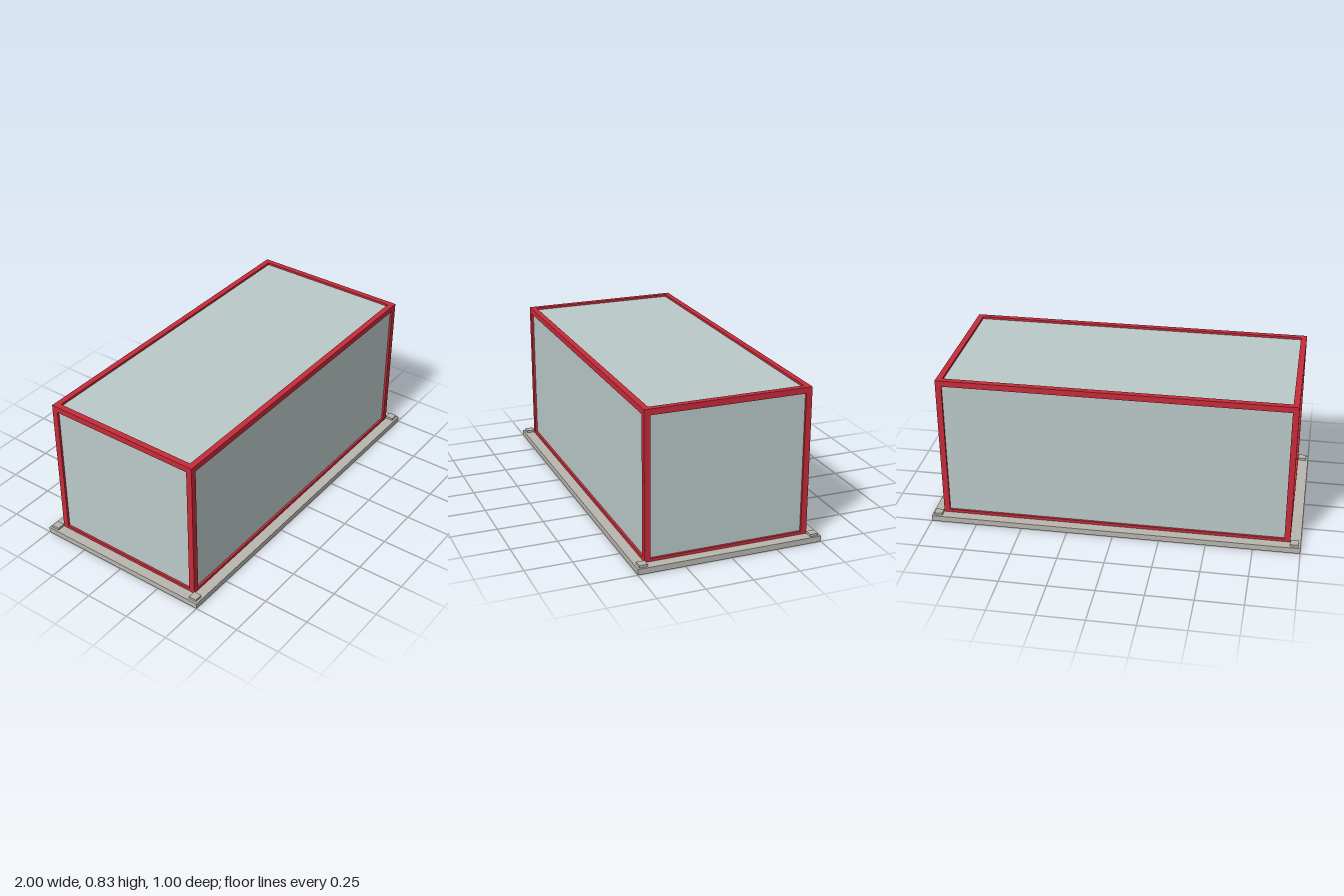
import * as THREE from 'three';

export function createModel() {
  const root = new THREE.Group();
  const mat = (name, color) => {
    const m = new THREE.MeshStandardMaterial({ color });
    m.name = name;
    return m;
  };
  const red = mat('red frame', 0xc62b39);
  const glass = mat('pale glass', 0xbbc9c9);
  const stone = mat('warm grey', 0xb9b6af);

  const box = (name, material, size, pos) => {
    const mesh = new THREE.Mesh(new THREE.BoxGeometry(...size), material);
    mesh.name = name;
    mesh.position.set(...pos);
    root.add(mesh);
  };

  // Base slab
  const baseTop = 0.031;
  box('baseSlab', stone, [2, baseTop, 1], [0, baseTop / 2, 0]);

  // Frame: beam thickness and centre lines
  const t = 0.032, fx = 0.928, fz = 0.428, yLow = 0.031, yHigh = 0.812;
  const yMid = (yLow + yHigh) / 2, h = yHigh - yLow;
  const sides = [-1, 1];

  for (const sx of sides) {
    for (const sz of sides) {
      // Corner posts and the small pads outside them
      box('cornerPost', red, [t, h + t, t], [sx * fx, yMid, sz * fz]);
      box('cornerPad', stone, [0.044, 0.014, 0.044], [sx * 0.967, baseTop + 0.006, sz * 0.466]);
    }
  }

  // Bottom and top rails between the posts
  for (const y of [yLow, yHigh]) {
    for (const s of sides) {
      box('longRail', red, [2 * fx - t, t, t], [0, y, s * fz]);
      box('shortRail', red, [t, t, 2 * fz - t], [s * fx, y, 0]);
    }
  }

  // Recessed glass panels
  const p = 0.008;
  for (const s of sides) {
    box('longPanel', glass, [2 * fx - t, h - t, p], [0, yMid, s * fz]);
    box('endPanel', glass, [p, h - t, 2 * fz - t], [s * fx, yMid, 0]);
  }
  box('roofPanel', glass, [2 * fx - t, p, 2 * fz - t], [0, yHigh, 0]);

  return root;
}
